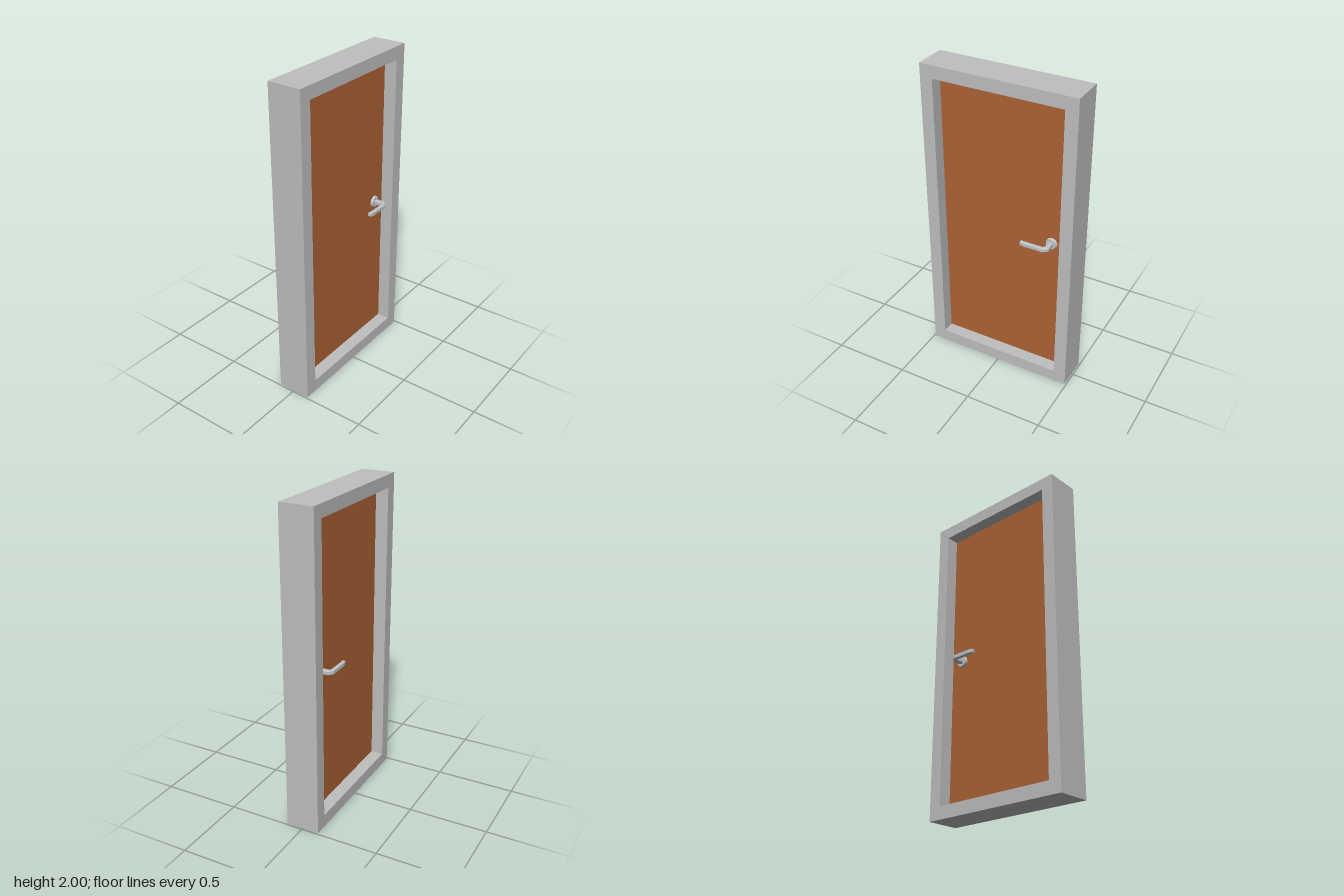
import * as THREE from 'three';

const FRAME = { halfDepth: 0.107, halfWidth: 0.49, height: 2, border: 0.08 };
const PANEL_HALF = 0.026;
const HANDLE_Y = 1.0, HANDLE_Z = -0.325;

function material(name, color) {
  const m = new THREE.MeshStandardMaterial({ color });
  m.name = name;
  return m;
}

function part(name, geometry, mat) {
  const mesh = new THREE.Mesh(geometry, mat);
  mesh.name = name;
  return mesh;
}

// Rectangle outline spanning +-halfWidth and y0..y1
function rectangle(Type, halfWidth, y0, y1) {
  return new Type([[-1, y0], [1, y0], [1, y1], [-1, y1]]
    .map(([s, y]) => new THREE.Vector2(s * halfWidth, y)));
}

// Lever handle on one side of the door (side = +1 or -1 along x)
function createHandle(side, mat) {
  const handle = new THREE.Group();
  handle.name = side > 0 ? 'leftHandle' : 'rightHandle';

  // Plan outline (x, z): neck out of the door, chamfered elbow, lever, bent tip
  const bevel = 0.004;
  const outline = [
    [0.02, -0.336], [0.096, -0.336], [0.104, -0.328], [0.119, -0.308],
    [0.119, -0.185], [0.115, -0.162], [0.1, -0.162], [0.103, -0.185],
    [0.103, -0.303], [0.092, -0.314], [0.02, -0.314],
  ].map(([x, z]) => new THREE.Vector2(side * x, z));
  const height = 0.028;
  const lever = new THREE.ExtrudeGeometry(new THREE.Shape(outline), {
    depth: height - 2 * bevel, bevelEnabled: true,
    bevelThickness: bevel, bevelSize: bevel, bevelSegments: 1,
  });
  lever.translate(0, 0, -(height - 2 * bevel) / 2);
  lever.rotateX(Math.PI / 2);
  lever.translate(0, HANDLE_Y, 0);
  handle.add(part('lever', lever, mat));

  // Round rose plate against the door
  const rose = new THREE.CylinderGeometry(0.033, 0.038, 0.014, 16).toNonIndexed();
  rose.computeVertexNormals();
  rose.rotateZ(-side * Math.PI / 2);
  rose.translate(side * (PANEL_HALF + 0.007), HANDLE_Y, HANDLE_Z);
  handle.add(part('rose', rose, mat));
  return handle;
}

export function createModel() {
  const model = new THREE.Group();
  model.name = 'door';
  const grey = material('frameGrey', 0xbfbfbf);
  const wood = material('doorBrown', 0xad6335);
  const metal = material('handleMetal', 0xc0c4c6);

  // Frame around all four sides
  const { halfDepth, halfWidth, height, border } = FRAME;
  const shape = rectangle(THREE.Shape, halfWidth, 0, height);
  shape.holes.push(rectangle(THREE.Path, halfWidth - border, border, height - border));
  const frame = new THREE.ExtrudeGeometry(shape, { depth: 2 * halfDepth, bevelEnabled: false });
  frame.translate(0, 0, -halfDepth);
  frame.rotateY(Math.PI / 2);
  model.add(part('frame', frame, grey));

  // Recessed door leaf
  const leaf = new THREE.BoxGeometry(2 * PANEL_HALF, height - 2 * border, 2 * (halfWidth - border));
  leaf.translate(0, height / 2, 0);
  model.add(part('doorLeaf', leaf, wood));

  // One handle per side
  for (const side of [1, -1]) model.add(createHandle(side, metal));
  return model;
}
